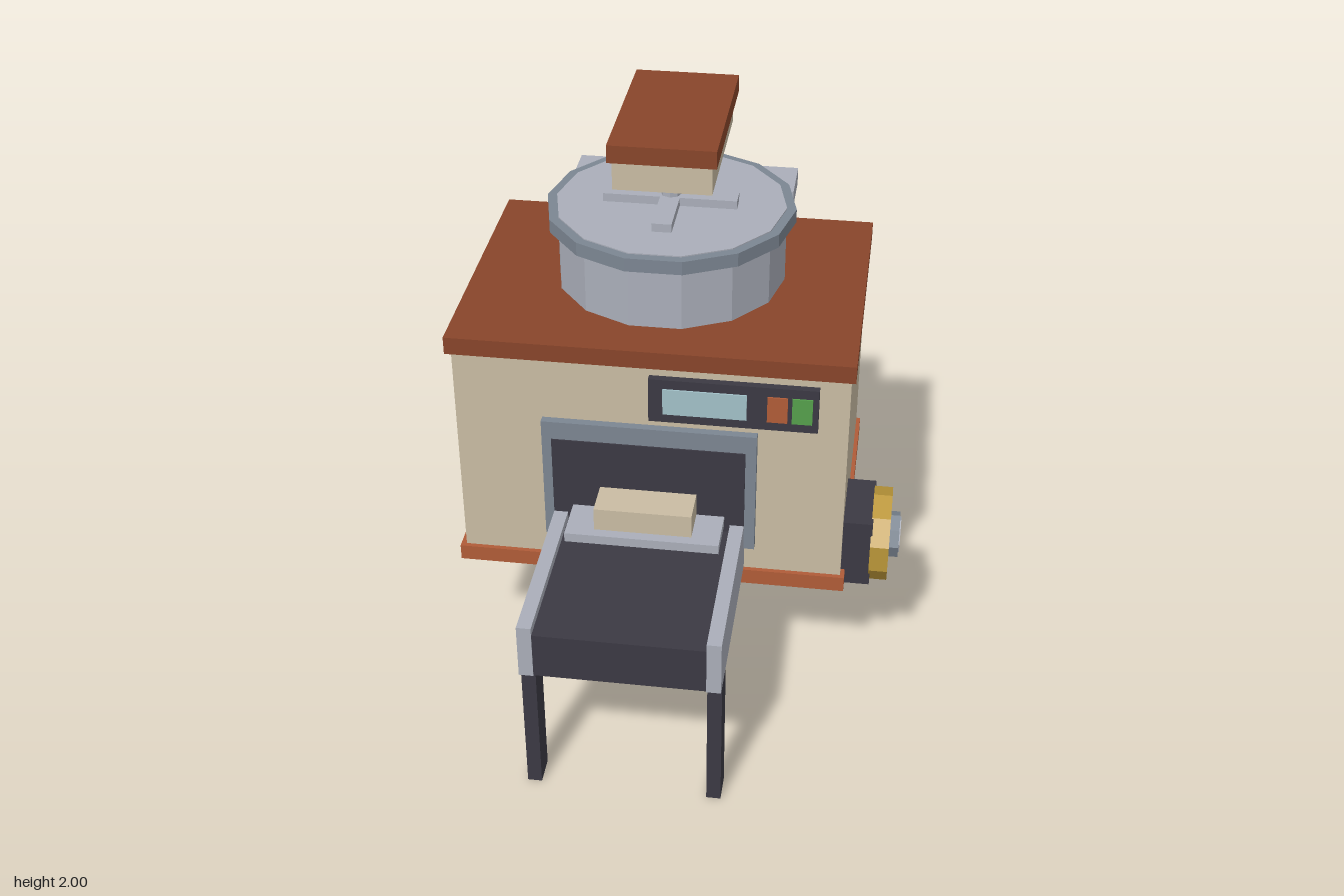
import * as THREE from 'three';

const mat = (name, color) => {
  const m = new THREE.MeshStandardMaterial({ color });
  m.name = name;
  m.flatShading = true;
  return m;
};

export function createModel() {
  const tan = mat('tan', 0xc9bca3), brown = mat('brown', 0x88452a), orange = mat('orange', 0xb05c38);
  const steel = mat('light steel', 0xaaaeb9), grey = mat('mid grey', 0x7c8692), dark = mat('charcoal', 0x3b3943);
  const gold = mat('gold', 0xba9639), glass = mat('pale blue', 0xa2c1c8), green = mat('green', 0x55a04c);

  const model = new THREE.Group();
  model.name = 'bakeryOven';

  const add = (name, geometry, material) => {
    const mesh = new THREE.Mesh(geometry, material);
    mesh.name = name;
    model.add(mesh);
    return mesh;
  };
  // Box given by its extents on each axis
  const box = (name, material, [x0, x1], [y0, y1], [z0, z1]) =>
    add(name, new THREE.BoxGeometry(x1 - x0, y1 - y0, z1 - z0), material)
      .position.set((x0 + x1) / 2, (y0 + y1) / 2, (z0 + z1) / 2);
  // Upright faceted disc sharing the drum axis
  const disc = (name, material, r, y0, y1, sides = 14) =>
    add(name, new THREE.CylinderGeometry(r, r, y1 - y0, sides, 1, false, Math.PI / 2), material)
      .position.set(-0.096, (y0 + y1) / 2, -0.38);
  // Faceted disc turned to face sideways, for the hand wheel
  const sideDisc = (name, material, r, x0, x1, sides) => {
    const g = new THREE.CylinderGeometry(r, r, x1 - x0, sides, 1, false, Math.PI / 2);
    add(name, g.rotateZ(Math.PI / 2), material).position.set((x0 + x1) / 2, 0.59, 0);
  };

  // Cabinet
  box('cabinet', tan, [-0.785, 0.595], [0.48, 1.38], [-0.86, 0.173]);
  box('roofSlab', brown, [-0.805, 0.61], [1.345, 1.41], [-0.862, 0.19]);
  box('baseTrim', orange, [-0.805, 0.61], [0.455, 0.515], [-0.862, 0.19]);

  // Drum with rim and cross handle
  disc('drum', steel, 0.412, 1.41, 1.694);
  disc('drumRim', grey, 0.446, 1.64, 1.69);
  box('crossBarWide', steel, [-0.335, 0.142], [1.69, 1.725], [-0.415, -0.345]);
  box('crossBarDeep', steel, [-0.131, -0.061], [1.69, 1.725], [-0.62, -0.14]);
  disc('press post', steel, 0.037, 1.72, 1.835, 8);

  // Press head, rear ledge and supporting column
  box('pressHead', tan, [-0.27, 0.075], [1.83, 1.94], [-0.79, -0.17]);
  box('pressCap', brown, [-0.285, 0.092], [1.935, 2.0], [-0.81, -0.155]);
  box('rearLedgeBase', grey, [-0.47, 0.28], [1.41, 1.56], [-0.859, -0.69]);
  box('rearLedge', steel, [-0.51, 0.317], [1.555, 1.62], [-0.859, -0.655]);
  box('rearColumn', tan, [-0.165, -0.03], [1.41, 1.9], [-0.862, -0.657]);

  // Control panel
  box('controlPanel', dark, [-0.095, 0.49], [1.14, 1.31], [0.17, 0.2]);
  box('screen', glass, [-0.045, 0.245], [1.175, 1.275], [0.199, 0.206]);
  box('orangeButton', orange, [0.315, 0.385], [1.175, 1.275], [0.199, 0.206]);
  box('greenButton', green, [0.4, 0.47], [1.175, 1.275], [0.199, 0.206]);

  // Oven mouth
  box('mouthFrame', grey, [-0.475, 0.283], [0.622, 1.105], [0.17, 0.203]);
  box('mouthOpening', dark, [-0.44, 0.245], [0.64, 1.035], [0.2, 0.208]);

  // Delivery tray with side rails and legs
  box('trayBelt', dark, [-0.39, 0.195], [0.522, 0.695], [0.17, 0.86]);
  for (const [x0, x1] of [[-0.44, -0.39], [0.195, 0.245]]) {
    box('trayRail', steel, [x0, x1], [0.52, 0.725], [0.17, 0.862]);
    box('trayLeg', dark, [x0, x1], [0, 0.52], [0.73, 0.83]);
  }
  box('servingPlate', steel, [-0.37, 0.175], [0.725, 0.76], [0.2, 0.38]);
  box('loaf', tan, [-0.27, 0.075], [0.76, 0.847], [0.2, 0.343]);

  // Hand wheel on the side
  box('wheelMount', dark, [0.59, 0.7], [0.455, 0.725], [-0.135, 0.138]);
  sideDisc('handWheel', gold, 0.17, 0.695, 0.762, 10);
  sideDisc('wheelHub', grey, 0.084, 0.755, 0.796, 8);
  sideDisc('hubCap', steel, 0.066, 0.793, 0.8, 8);

  return model;
}
